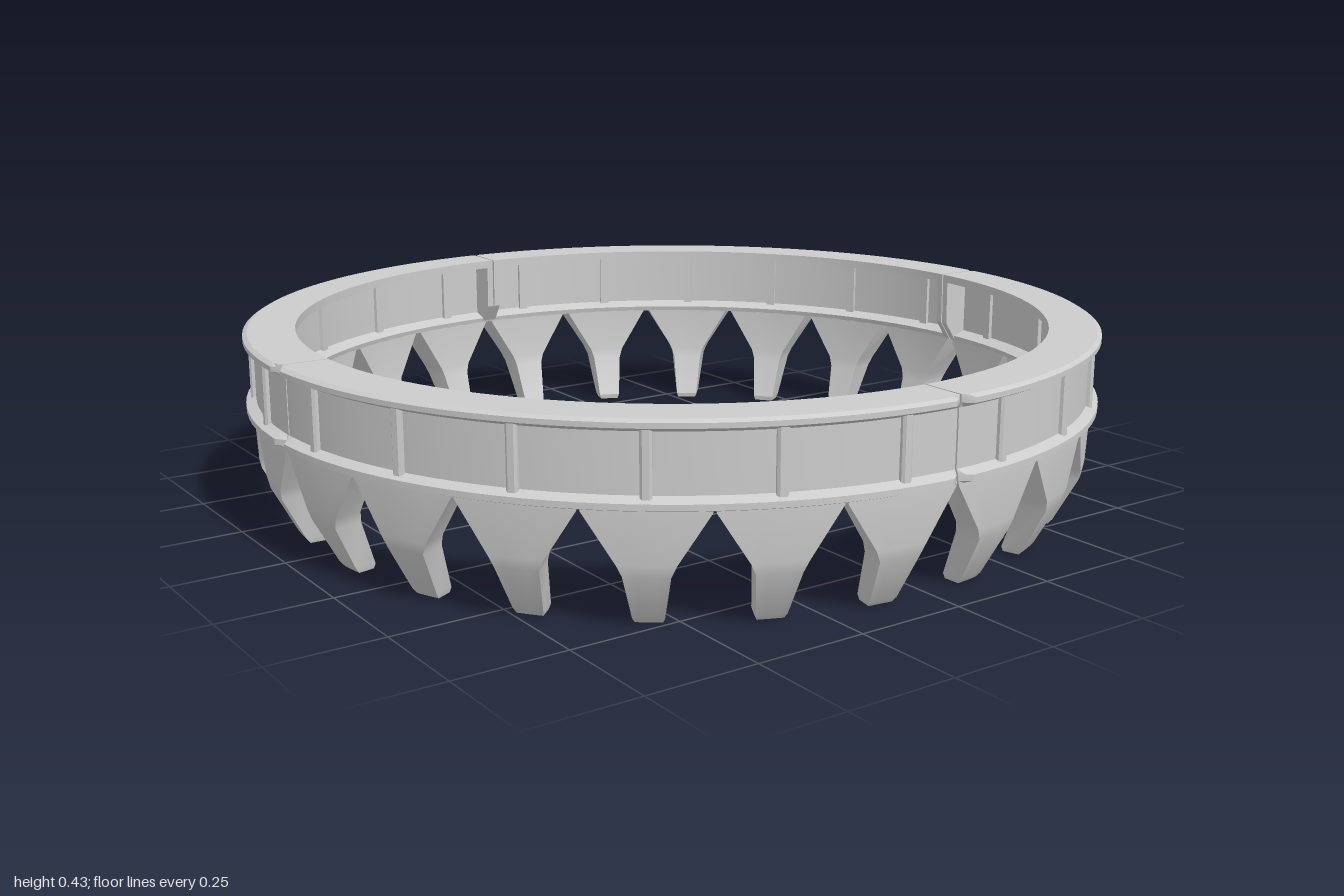
import * as THREE from 'three';
import { toCreasedNormals } from 'three/addons/utils/BufferGeometryUtils.js';

const material = new THREE.MeshStandardMaterial({ color: 0xcccccc });
const DEG = Math.PI / 180;
const polar = (r, y, a) => [r * Math.sin(a * DEG), y, r * Math.cos(a * DEG)];

// Skin a row of matching loops and cap both ends; flat is the loop in 2D, counter-clockwise.
function skin(loops, flat) {
  const n = flat.length;
  const position = loops.flat(2);
  const index = [];
  for (let s = 0; s < loops.length - 1; s++) {
    for (let i = 0; i < n; i++) {
      const j = (i + 1) % n;
      const a = s * n + i, b = s * n + j, c = b + n, d = a + n;
      index.push(a, b, c, a, c, d);
    }
  }
  const end = (loops.length - 1) * n;
  for (const [a, b, c] of THREE.ShapeUtils.triangulateShape(flat, [])) {
    index.push(end + a, end + b, end + c, c, b, a);
  }
  const geometry = new THREE.BufferGeometry();
  geometry.setAttribute('position', new THREE.Float32BufferAttribute(position, 3));
  geometry.setIndex(index);
  return toCreasedNormals(geometry, 0.4);
}

// Sweep an [r, y] profile round the axis through angles given as [angle, largest radius].
function sweep(profile, stations) {
  let pts = profile;
  if (THREE.ShapeUtils.area(pts.map(([r, y]) => new THREE.Vector2(y, r))) < 0) pts = [...pts].reverse();
  const flat = pts.map(([r, y]) => new THREE.Vector2(y, r));
  return skin(stations.map(([a, max]) => pts.map(([r, y]) => polar(Math.min(r, max), y, a))), flat);
}

// One tooth: wide under the band, narrowing to a shank that bends inward.
function toothGeometry() {
  // y, half angle outside, half angle inside, outer radius, inner radius
  const levels = [
    [0.0, 1.75, 1.6, 0.908, 0.87],
    [0.012, 2.0, 1.85, 0.918, 0.868],
    [0.115, 2.75, 2.4, 0.972, 0.905],
    [0.14, 3.4, 2.9, 0.977, 0.91],
    [0.245, 7.3, 6.8, 0.982, 0.915],
    [0.256, 7.4, 7.2, 0.982, 0.915],
  ];
  const steps = [-1, -0.5, 0, 0.5, 1];
  const loops = levels.map(([y, ho, hi, ro, ri]) => [
    ...steps.map((t) => polar(ro, y, t * ho)),
    ...steps.map((t) => polar(ri, y, -t * hi)),
  ]);
  return skin(loops, loops[0].map(([x, , z]) => new THREE.Vector2(z, x)));
}

export function createModel() {
  const model = new THREE.Group();
  model.name = 'toothedRing';

  // Thin wall with top flange, outer lips and a lower inner ledge
  const bandProfile = [
    [0.88, 0.43], [0.988, 0.43], [0.998, 0.424], [0.998, 0.413], [0.975, 0.402],
    [0.975, 0.278], [0.998, 0.268], [0.998, 0.255], [0.985, 0.25], [0.915, 0.25],
    [0.912, 0.262], [0.945, 0.274], [0.945, 0.405], [0.88, 0.41],
  ];
  const stations = [[0.12, 0.98], [0.8, 0.99], [1.5, 1]];
  for (let a = 3; a <= 87; a += 3) stations.push([a, 1]);
  stations.push([88.5, 1], [89.2, 0.99], [89.88, 0.98]);
  const bandGeometry = sweep(bandProfile, stations);

  // Upright ribs show on both faces of the wall
  const ribGeometry = sweep(
    [[0.936, 0.265], [0.987, 0.265], [0.987, 0.415], [0.936, 0.415]],
    [[-0.7, 0.982], [-0.4, 1], [0.4, 1], [0.7, 0.982]],
  );

  // End plates close each quarter inside the wall
  const plateProfile = [[0.88, 0.42], [0.96, 0.42], [0.96, 0.255], [0.912, 0.255], [0.882, 0.30]];
  const plates = [[0.12, 1.2], [88.8, 89.88]].map(([a, b]) => sweep(plateProfile, [[a, 1], [b, 1]]));

  const toothGeo = toothGeometry();

  for (let q = 0; q < 4; q++) {
    const quarter = new THREE.Group();
    quarter.name = `quarterSegment${q + 1}`;
    quarter.rotation.y = q * Math.PI / 2;
    const add = (geometry, name, angle = 0) => {
      const mesh = new THREE.Mesh(geometry, material);
      mesh.name = name;
      mesh.rotation.y = angle * DEG;
      quarter.add(mesh);
    };
    add(bandGeometry, 'band');
    plates.forEach((geometry) => add(geometry, 'endPlate'));
    for (let i = 0; i < 6; i++) {
      add(ribGeometry, 'rib', 7.5 + 15 * i);
      add(toothGeo, 'tooth', 7.5 + 15 * i);
    }
    model.add(quarter);
  }
  return model;
}
